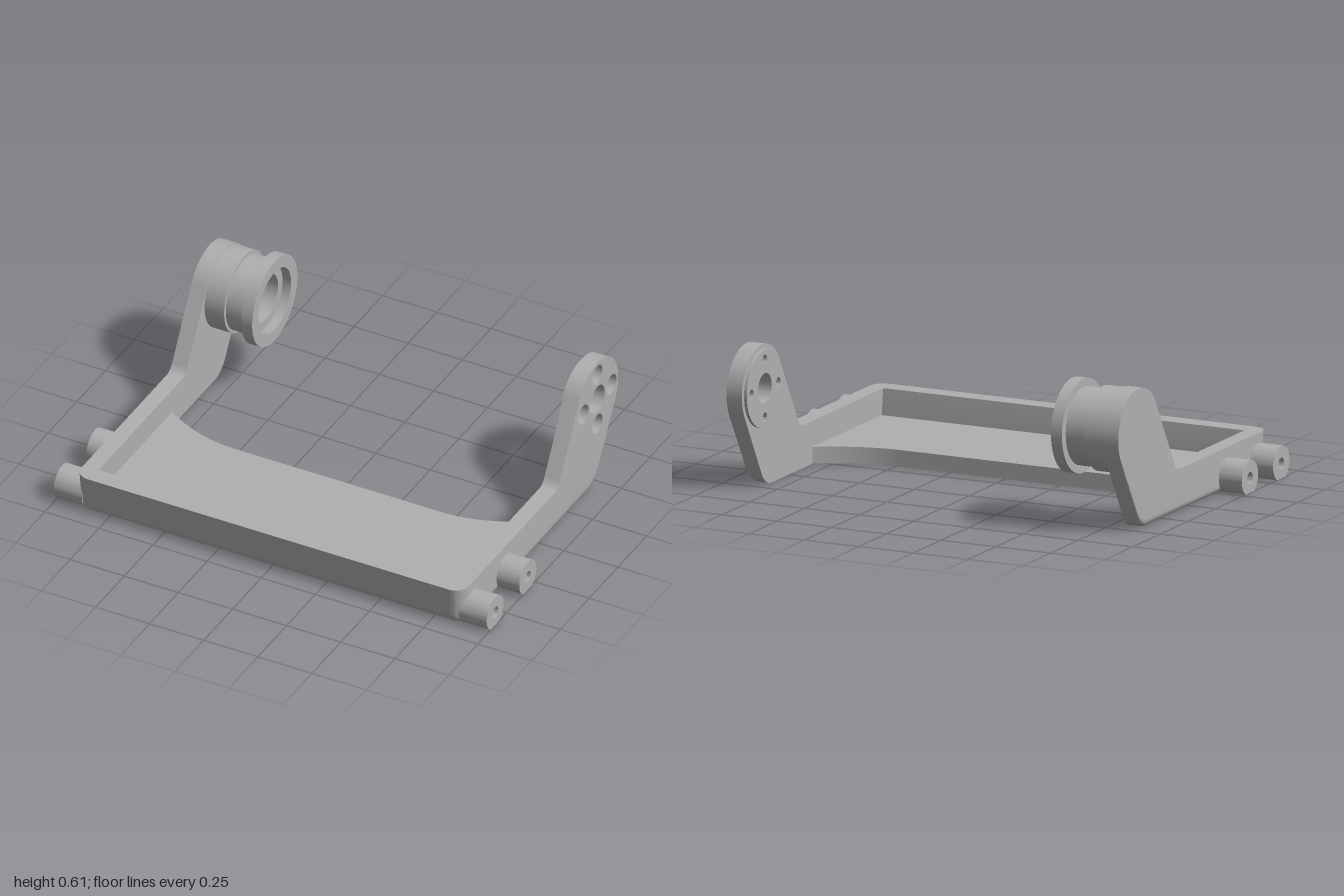
import * as THREE from 'three';
import { toCreasedNormals } from 'three/addons/utils/BufferGeometryUtils.js';

const IN = 0.825, OUT = 0.895;          // inner and outer faces of the side plates
const HUB_Z = -0.49, HUB_Y = 0.415;     // pivot centre
const BOLTS = [0, 1, 2, 3].map(i => [
  -HUB_Z + 0.122 * Math.cos(i * Math.PI / 2), HUB_Y + 0.122 * Math.sin(i * Math.PI / 2)]);

const circle = (u, v, r, Type = THREE.Shape) => {
  const s = new Type();
  s.absarc(u, v, r, 0, Math.PI * 2, false);
  return s;
};
const hole = (u, v, r) => circle(u, v, r, THREE.Path);

// Extrudes a side-view shape (u = -z, v = y) along x from x0 to x1
function extrudeX(shape, x0, x1, steps = 1) {
  const g = new THREE.ExtrudeGeometry(shape, { depth: x1 - x0, steps, bevelEnabled: false, curveSegments: 24 });
  return g.rotateY(Math.PI / 2).translate(x0, 0, 0);
}

// Mirrors a non-indexed geometry across x and restores its winding
function mirrorX(source) {
  const g = source.clone().scale(-1, 1, 1);
  const a = g.attributes.position.array;
  for (let i = 0; i < a.length; i += 9) {
    for (let k = 0; k < 3; k++) [a[i + 3 + k], a[i + 6 + k]] = [a[i + 6 + k], a[i + 3 + k]];
  }
  return g;
}

// Rounded front edge shared by the side plates and the front wall
function frontEdge(s) {
  s.lineTo(-0.69, 0.18);
  s.lineTo(-0.675, 0.05);
  s.quadraticCurveTo(-0.67, 0, -0.63, 0);
}

// Side plate with raised arm; rounded along the outer bottom edge and front corner
function sidePlate(holes) {
  const s = new THREE.Shape();
  s.moveTo(-0.63, 0);
  s.lineTo(0.4, 0);
  s.quadraticCurveTo(0.461, 0, 0.496, 0.06);
  s.lineTo(0.648, 0.324);
  s.absarc(-HUB_Z, HUB_Y, 0.182, -Math.PI / 6, Math.PI * 5 / 6, false);
  s.lineTo(0.165, 0.215);
  s.quadraticCurveTo(0.145, 0.18, 0.115, 0.18);
  frontEdge(s);
  s.holes.push(...holes);
  const g = extrudeX(s, IN, OUT, 14);
  const p = g.attributes.position;
  const inset = (x, r) => {
    const d = Math.min(r, Math.max(0, x - (OUT - r)));
    return r - Math.sqrt(r * r - d * d);
  };
  for (let i = 0; i < p.count; i++) {
    const t = (p.getX(i) - IN) / (OUT - IN);
    const x = IN + (OUT - IN) * Math.sin(Math.min(1, t) * Math.PI / 2);
    const y = p.getY(i), z = p.getZ(i);
    p.setXYZ(i, x,
      y + inset(x, 0.03) * Math.max(0, 1 - y / 0.12),
      z > 0.6 ? z - inset(x, 0.06) : z);
  }
  return g;
}

export function createModel() {
  const group = new THREE.Group();
  const grey = new THREE.MeshStandardMaterial({ color: 0xb0b0b0 });
  grey.name = 'grey';
  const add = (name, geometry) => {
    const mesh = new THREE.Mesh(toCreasedNormals(geometry, 0.5), grey);
    mesh.name = name;
    group.add(mesh);
  };

  // Side plates
  add('leftArm', sidePlate([hole(-HUB_Z, HUB_Y, 0.063), ...BOLTS.map(([u, v]) => hole(u, v, 0.044))]));
  add('rightArm', mirrorX(sidePlate([])));

  // Seats at the bottom of the counterbored bolt holes
  for (const [u, v] of BOLTS) {
    const seat = circle(u, v, 0.044);
    seat.holes.push(hole(u, v, 0.02));
    add('boltSeat', extrudeX(seat, IN, 0.86));
  }

  // Thin boss on the inside of the left arm
  const boss = circle(-HUB_Z, HUB_Y, 0.163);
  boss.holes.push(hole(-HUB_Z, HUB_Y, 0.063), ...BOLTS.map(([u, v]) => hole(u, v, 0.02)));
  add('pivotBoss', extrudeX(boss, 0.812, IN));

  // Front wall with a slightly sloped inner face
  const wall = new THREE.Shape();
  wall.moveTo(-0.63, 0);
  wall.lineTo(-0.595, 0);
  wall.lineTo(-0.595, 0.07);
  wall.lineTo(-0.61, 0.18);
  frontEdge(wall);
  add('frontWall', extrudeX(wall, -IN, IN));

  // Tray floor with a scooped rear edge
  const plan = new THREE.Shape();
  plan.moveTo(-IN, -0.03);
  plan.quadraticCurveTo(-0.65, 0.08, -0.48, 0.08);
  plan.lineTo(0.48, 0.08);
  plan.quadraticCurveTo(0.65, 0.08, IN, -0.03);
  plan.lineTo(IN, 0.595);
  plan.lineTo(-IN, 0.595);
  const floor = new THREE.ExtrudeGeometry(plan, { depth: 0.07, bevelEnabled: false, curveSegments: 20 });
  add('trayFloor', floor.rotateX(Math.PI / 2).translate(0, 0.07, 0));

  // Side posts, cut flat underneath
  const cut = Math.asin(0.063 / 0.074);
  for (const z of [0.597, 0.313]) {
    const s = new THREE.Shape();
    s.absarc(-z, 0.063, 0.074, -cut, Math.PI + cut, false);
    s.holes.push(hole(-z, 0.063, 0.025));
    const post = extrudeX(s, 0.87, 1);
    add('leftPost', post);
    add('rightPost', mirrorX(post));
  }

  // Stepped drum with a flange and blind bore on the right arm
  const profile = [
    [0.177, -0.826], [0.177, -0.735], [0.163, -0.735], [0.163, -0.645], [0.197, -0.645],
    [0.197, -0.595], [0.143, -0.595], [0.143, -0.635], [0.103, -0.635], [0.103, -0.82], [0, -0.82],
  ].map(([r, h]) => new THREE.Vector2(r, h));
  add('drum', new THREE.LatheGeometry(profile, 64).rotateZ(-Math.PI / 2).translate(0, HUB_Y, HUB_Z));

  return group;
}
